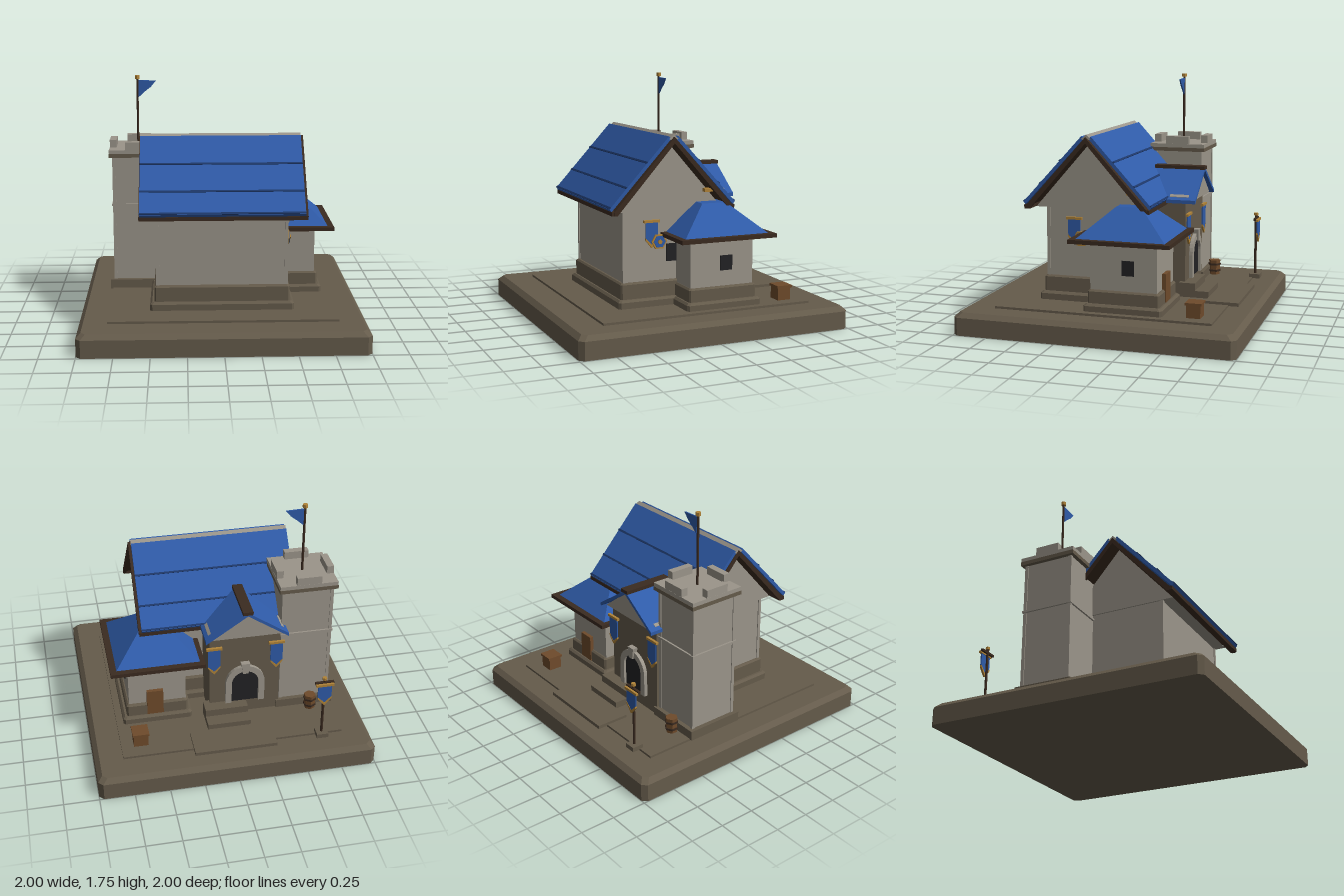
import * as THREE from 'three';

const mat = (name, color) => {
  const m = new THREE.MeshStandardMaterial({ color });
  m.name = name;
  return m;
};

export function createModel() {
  const root = new THREE.Group();
  root.name = 'castleHouse';
  const earth = mat('brown stone', 0x655b4b), stone = mat('light stone', 0x9b958a);
  const blue = mat('blue', 0x2f5ba8), navy = mat('navy', 0x1d3768);
  const timber = mat('dark timber', 0x3b2b20), wood = mat('wood', 0x6f4b2b);
  const gold = mat('gold', 0xb08338), dark = mat('dark opening', 0x222224);

  const add = (name, geo, m, parent = root) => {
    const mesh = new THREE.Mesh(geo, m);
    mesh.name = name;
    parent.add(mesh);
    return mesh;
  };
  // box given by its extents on each axis
  const box = (name, m, x0, x1, y0, y1, z0, z1, parent) => add(name,
    new THREE.BoxGeometry(x1 - x0, y1 - y0, z1 - z0)
      .translate((x0 + x1) / 2, (y0 + y1) / 2, (z0 + z1) / 2), m, parent);
  const polygon = pts => new THREE.Shape(pts.map(p => new THREE.Vector2(...p)));
  const extrude = (shape, depth) =>
    new THREE.ExtrudeGeometry(shape, { depth, bevelEnabled: false, curveSegments: 8 });
  // [x, y] outline extruded from z0 to z1
  const prismZ = (name, m, pts, z0, z1, parent) =>
    add(name, extrude(polygon(pts), z1 - z0).translate(0, 0, z0), m, parent);
  // [z, y] outline extruded from x0 to x1
  const prismX = (name, m, pts, x0, x1) =>
    add(name, extrude(polygon(pts), x1 - x0).rotateY(-Math.PI / 2).translate(x1, 0, 0), m);
  const cyl = (name, m, rTop, rBot, y0, y1, x, z, sides = 6, parent) => {
    const g = new THREE.CylinderGeometry(rTop, rBot, y1 - y0, sides).toNonIndexed();
    g.computeVertexNormals();
    return add(name, g.translate(x, (y0 + y1) / 2, z), m, parent);
  };

  // block with cut corners and a chamfered top edge
  const chamferBlock = (name, m, x0, x1, y0, y1, z0, z1, c) => {
    const ring = (inset, y) => {
      const a = x0 + inset, b = x1 - inset, d = z0 + inset, e = z1 - inset;
      return [[b, d + c], [b, e - c], [b - c, e], [a + c, e], [a, e - c], [a, d + c], [a + c, d], [b - c, d]]
        .map(([x, z]) => [x, y, z]);
    };
    const rings = [ring(0, y0), ring(0, y1 - c), ring(c, y1)], v = [];
    const tri = (...p) => p.forEach(q => v.push(...q));
    const mid = y => [(x0 + x1) / 2, y, (z0 + z1) / 2];
    for (let i = 0; i < 8; i++) {
      const j = (i + 1) % 8;
      for (let k = 0; k < 2; k++) {
        const [lo, up] = [rings[k], rings[k + 1]];
        tri(lo[i], up[i], up[j]);
        tri(lo[i], up[j], lo[j]);
      }
      tri(mid(y0), rings[0][i], rings[0][j]);
      tri(mid(y1), rings[2][j], rings[2][i]);
    }
    const g = new THREE.BufferGeometry();
    g.setAttribute('position', new THREE.Float32BufferAttribute(v, 3));
    g.computeVertexNormals();
    return add(name, g, m);
  };

  // pointed cloth banner, hanging from y = 0 and facing +z
  const banner = (name, w, h, x, y, z, turn) => {
    const g = new THREE.Group();
    g.name = name;
    const s = h - w * 0.5;
    prismZ('bannerCloth', blue, [[-w / 2, 0], [w / 2, 0], [w / 2, -s], [0, -h], [-w / 2, -s]], -0.005, 0.005, g);
    prismZ('bannerTip', gold, [[-w / 2, -s], [0, -h], [w / 2, -s], [w / 2, -s - 0.015], [0, -h - 0.025], [-w / 2, -s - 0.015]], -0.007, 0.007, g);
    box('bannerRod', gold, -w * 0.65, w * 0.65, -0.005, 0.013, -0.01, 0.01, g);
    g.position.set(x, y, z);
    g.rotation.y = turn;
    root.add(g);
  };

  // ground
  chamferBlock('base', earth, -1, 1, 0, 0.16, -1, 1, 0.033);
  box('yard', earth, -0.8, 0.8, 0.16, 0.176, -0.795, 0.765);
  box('entrancePad', earth, -0.3, 0.295, 0.17, 0.195, -0.87, -0.63);
  box('lowerStep', earth, -0.16, 0.155, 0.17, 0.225, -0.62, -0.4);
  box('upperStep', earth, -0.16, 0.155, 0.2, 0.28, -0.52, -0.4);

  // main hall
  chamferBlock('hallFooting', earth, -0.51, 0.51, 0.176, 0.235, -0.22, 0.54, 0.015);
  chamferBlock('hallPlinth', earth, -0.48, 0.48, 0.23, 0.35, -0.19, 0.515, 0.012);
  box('hallWalls', stone, -0.46, 0.46, 0.34, 0.86, -0.17, 0.49);
  prismX('hallGable', stone, [[0.575, 0.845], [0.16, 1.32], [-0.255, 0.845]], -0.47, 0.47);
  for (const x of [-0.455, 0.455]) for (const z of [-0.165, 0.485])
    box('hallCorner', stone, x - 0.012, x + 0.012, 0.35, 0.845, z - 0.012, z + 0.012);

  // hall roof, mirrored about the ridge at z = 0.16
  for (const s of [1, -1]) {
    const f = pts => pts.map(([z, y]) => [0.16 + s * z, y]);
    prismX('roofDeck', timber, f([[0, 1.36], [0.44, 0.872], [0.425, 0.86], [0, 1.335]]), -0.573, 0.575);
    prismX('roofSlope', blue, f([[0.035, 1.37], [0.472, 0.893], [0.457, 0.874], [0.018, 1.352]]), -0.575, 0.575);
    prismX('eaveBeam', timber, f([[0.46, 0.875], [0.46, 0.847], [0.415, 0.847], [0.415, 0.88]]), -0.58, 0.59);
    for (const x of [-0.58, 0.573])
      prismX('gableRafter', timber, f([[0, 1.365], [0.445, 0.872], [0.445, 0.847], [0.42, 0.847], [0, 1.322]]), x, x + 0.021);
    for (const y of [0.905, 1.035, 1.2]) {
      const z = 0.035 + (1.37 - y) * 0.916;
      prismX('roofCourse', navy, f([[z, y], [z + 0.004, y + 0.004], [z + 0.013, y - 0.006], [z + 0.009, y - 0.01]]), -0.576, 0.576);
    }
  }
  prismX('ridgeCap', stone, [[0.125, 1.352], [0.16, 1.382], [0.195, 1.352], [0.16, 1.335]], -0.576, 0.576);

  // right wall details
  box('hallWindow', dark, 0.46, 0.468, 0.48, 0.605, 0.085, 0.168);
  banner('hallBanner', 0.09, 0.16, 0.478, 0.77, 0.285, Math.PI / 2);
  [['shieldRim', gold, 0.058, 0.02], ['shieldFace', blue, 0.045, 0.026], ['shieldBoss', gold, 0.016, 0.036]]
    .forEach(([name, m, r, d]) => cyl(name, m, r, r, 0, d, 0, 0)
      .geometry.rotateY(Math.PI / 6).rotateZ(-Math.PI / 2).rotateX(Math.PI / 2).translate(0.475, 0.63, 0.232));
  box('gableBracket', gold, 0.47, 0.51, 0.96, 0.985, -0.17, -0.11);

  // side annex with a hipped roof
  chamferBlock('annexFooting', earth, 0.24, 0.75, 0.176, 0.23, -0.435, 0.13, 0.015);
  chamferBlock('annexPlinth', earth, 0.27, 0.72, 0.23, 0.325, -0.41, 0.105, 0.012);
  box('annexWalls', stone, 0.28, 0.7, 0.31, 0.67, -0.39, 0.09);
  box('annexEaves', timber, 0.15, 0.83, 0.662, 0.69, -0.51, 0.21);
  const hip = new THREE.CylinderGeometry(Math.SQRT1_2 * 0.29, Math.SQRT1_2, 0.2, 4).toNonIndexed()
    .rotateY(Math.PI / 4).scale(0.6, 1, 0.63).translate(0.485, 0.79, -0.15);
  hip.computeVertexNormals();
  add('annexRoof', hip, blue);
  box('annexWindow', dark, 0.7, 0.708, 0.435, 0.54, -0.228, -0.138);
  box('annexDoor', wood, 0.45, 0.57, 0.235, 0.435, -0.418, -0.385);

  // rear entrance wing
  box('porchWalls', earth, -0.41, 0.11, 0.17, 0.88, -0.435, -0.1);
  prismZ('porchGable', stone, [[-0.42, 0.87], [-0.15, 1.075], [0.12, 0.87]], -0.485, -0.2);
  for (const s of [1, -1]) {
    const f = pts => pts.map(([x, y]) => [-0.15 + s * x, y]);
    prismZ('porchRoof', blue, f([[0, 1.092], [0.3, 0.885], [0.3, 0.86], [0, 1.065]]), -0.515, -0.13);
    prismZ('porchRoofTrim', stone, f([[0.256, 0.919], [0.276, 0.905], [0.276, 0.895], [0.256, 0.905]]), -0.46, -0.32);
    banner('porchBanner', 0.09, 0.19, -0.15 + s * 0.23, 0.77, -0.453, Math.PI);
  }
  box('porchRidge', timber, -0.187, -0.113, 1.075, 1.1, -0.52, -0.14);

  // arched doorway
  const arch = (r, path) => path.moveTo(-r, 0).lineTo(r, 0).lineTo(r, 0.17).absarc(0, 0.17, r, 0, Math.PI).lineTo(-r, 0);
  const door = new THREE.Shape(), frame = new THREE.Shape(), hole = new THREE.Path();
  arch(0.105, door); arch(0.145, frame); arch(0.1, hole);
  hole.curves.forEach(() => {});
  add('door', extrude(door, 0.008).translate(-0.15, 0.28, -0.443), dark);
  const surround = new THREE.Shape();
  surround.moveTo(0.1, 0).lineTo(0.145, 0).lineTo(0.145, 0.17).absarc(0, 0.17, 0.145, 0, Math.PI)
    .lineTo(-0.145, 0).lineTo(-0.1, 0).lineTo(-0.1, 0.17).absarc(0, 0.17, 0.1, Math.PI, 0, true).lineTo(0.1, 0);
  add('doorSurround', extrude(surround, 0.03).translate(-0.15, 0.28, -0.462), stone);
  prismZ('keystone', stone, [[-0.17, 0.54], [-0.13, 0.54], [-0.118, 0.625], [-0.182, 0.625]], -0.475, -0.43);

  // tower
  const tx = -0.605, tz = -0.235;
  const slab = (name, m, h, y0, y1) => box(name, m, tx - h, tx + h, y0, y1, tz - h, tz + h);
  slab('towerFooting', earth, 0.215, 0.17, 0.24);
  slab('towerWalls', stone, 0.182, 0.24, 1.18);
  slab('towerStringCourse', stone, 0.195, 0.803, 0.818);
  slab('towerCornice', earth, 0.212, 1.172, 1.2);
  slab('towerTop', stone, 0.21, 1.2, 1.228);
  for (const a of [-1, 1]) for (const b of [-1, 1])
    box('towerCorner', stone, tx + a * 0.176 - 0.012, tx + a * 0.176 + 0.012, 0.24, 1.172, tz + b * 0.176 - 0.012, tz + b * 0.176 + 0.012);
  for (let i = 0; i < 4; i++) {
    const m = add('merlon', new THREE.BoxGeometry(0.178, 0.06, 0.05).translate(0, 1.256, 0.184).rotateY(i * Math.PI / 2), stone);
    m.position.set(tx, 0, tz);
  }
  cyl('flagpole', timber, 0.009, 0.009, 1.22, 1.74, tx, tz);
  cyl('flagpoleCap', gold, 0.019, 0.019, 1.73, 1.755, tx, tz);
  prismZ('flag', blue, [[-0.597, 1.72], [-0.467, 1.716], [-0.505, 1.67], [-0.55, 1.635], [-0.597, 1.592]], tz - 0.005, tz + 0.005);

  // yard props
  box('crate', wood, 0.605, 0.71, 0.17, 0.268, -0.695, -0.595);
  box('crateLid', wood, 0.598, 0.717, 0.265, 0.282, -0.704, -0.588);
  cyl('barrel', wood, 0.045, 0.04, 0.17, 0.29, -0.64, -0.485);
  for (const y of [0.2, 0.25]) cyl('barrelHoop', timber, 0.049, 0.049, y, y + 0.015, -0.64, -0.485);
  box('signFoot', earth, -0.682, -0.598, 0.17, 0.203, -0.852, -0.77);
  cyl('signPost', timber, 0.01, 0.01, 0.2, 0.67, -0.64, -0.81);
  cyl('signPostCap', gold, 0.017, 0.017, 0.663, 0.682, -0.64, -0.81);
  box('signCrossbar', timber, -0.708, -0.572, 0.63, 0.647, -0.822, -0.802);
  banner('signBanner', 0.1, 0.145, -0.64, 0.625, -0.828, Math.PI);

  return root;
}
